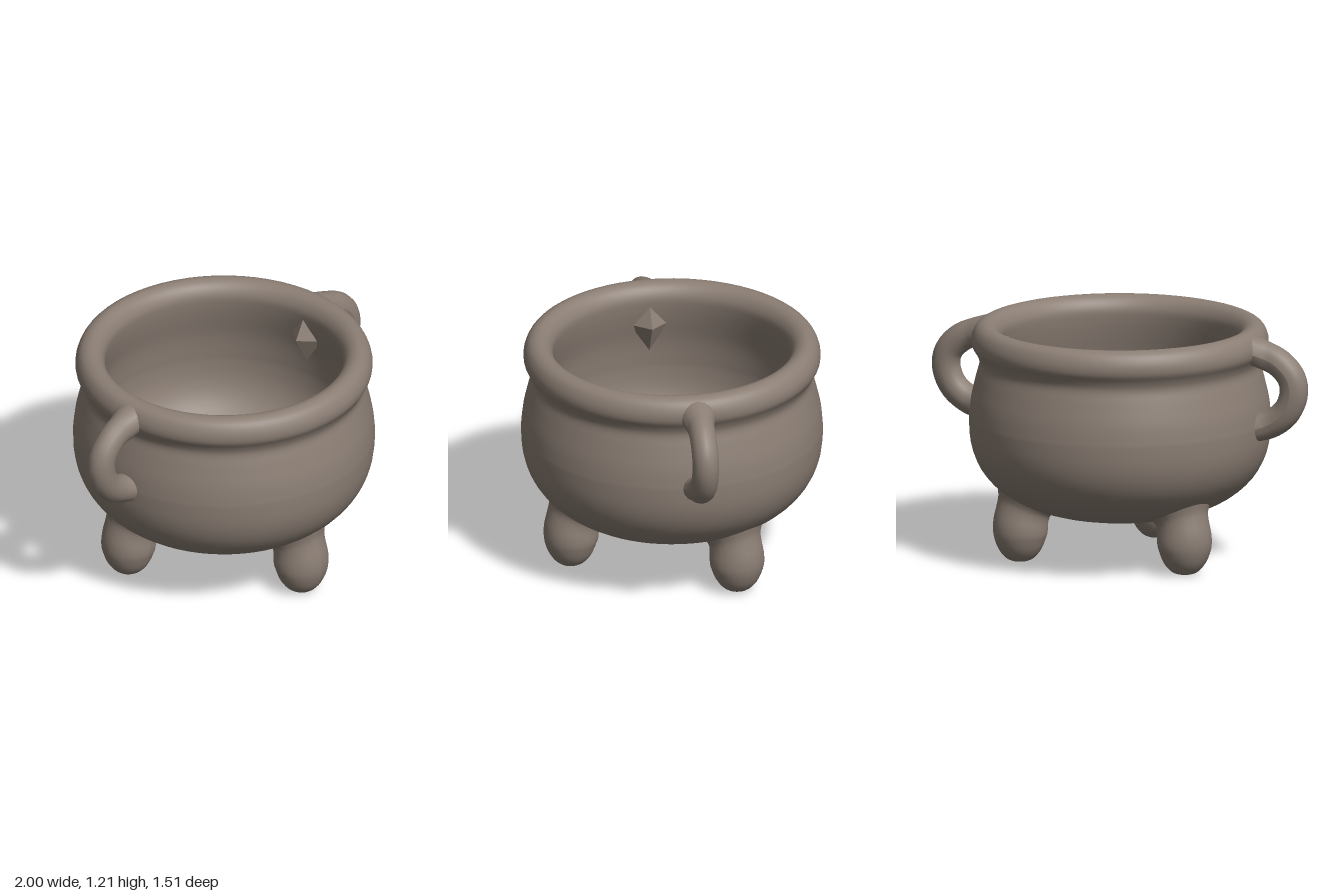
import * as THREE from 'three';

const iron = new THREE.MeshStandardMaterial({ color: 0x8b7e74 });
iron.name = 'warm grey iron';

const R = 0.755, MID = 0.72, POWER = 2.5;
const v2 = (x, y) => new THREE.Vector2(x, y);
const v3 = (x, y) => new THREE.Vector3(x, y, 0);

// Height of the rounded belly underside at radius r
const bellyY = (r) => MID - 0.5 * Math.pow(Math.max(0, 1 - Math.pow(r / R, POWER)), 1 / POWER);

// Lower half of a bowl, from the centre out to the widest ring
function bowl(radius, depth, steps) {
  const pts = [];
  for (let i = 0; i <= steps; i++) {
    const a = (i / steps) * Math.PI / 2;
    pts.push(v2(radius * Math.pow(Math.sin(a), 2 / POWER),
      MID - depth * Math.pow(Math.max(0, Math.cos(a)), 2 / POWER)));
  }
  pts[0].x = 0;
  pts[steps].y = MID;
  return pts;
}

function add(group, name, geometry) {
  const mesh = new THREE.Mesh(geometry, iron);
  mesh.name = name;
  group.add(mesh);
  return mesh;
}

// Hollow pot: outer belly, neck, rolled rim, inner wall and floor
function potGeometry() {
  const rim = new THREE.SplineCurve([
    v2(R, MID), v2(0.745, 0.82), v2(0.72, 0.93), v2(0.703, 1.0), v2(0.715, 1.045),
    v2(0.74, 1.09), v2(0.74, 1.14), v2(0.715, 1.187), v2(0.67, 1.205),
    v2(0.625, 1.187), v2(0.598, 1.14), v2(0.6, 1.08), v2(0.615, 1.0),
    v2(0.645, 0.87), v2(0.66, MID),
  ]).getPoints(56);
  const outer = bowl(R, 0.5, 18);
  const inner = bowl(0.66, 0.41, 18).reverse();
  return new THREE.LatheGeometry([...outer, ...rim.slice(1, -1), ...inner], 64);
}

// Egg-shaped foot whose top ring is pulled onto the belly and leans inward
function footGeometry(x, z) {
  const profile = new THREE.SplineCurve([
    v2(0, 0), v2(0.06, 0.012), v2(0.105, 0.06), v2(0.132, 0.13),
    v2(0.138, 0.2), v2(0.134, 0.29), v2(0.139, 0.35), v2(0.16, 0.4),
  ]).getPoints(28);
  profile[0].x = 0;
  const geo = new THREE.LatheGeometry(profile, 24);
  geo.translate(x, 0, z);
  const p = geo.attributes.position;
  const base = 0.12;
  for (let i = 0; i < p.count; i++) {
    const k = (p.getY(i) - base) / (0.4 - base);
    if (k <= 0) continue;
    const lean = 1 - 0.07 * k * k;
    const px = p.getX(i) * lean, pz = p.getZ(i) * lean;
    const top = bellyY(Math.hypot(px, pz)) + 0.01;
    p.setXYZ(i, px, base + k * (top - base), pz);
  }
  geo.computeVertexNormals();
  return geo;
}

// Ear-shaped loop, thickened where it meets the pot
function handleGeometry() {
  const path = new THREE.CatmullRomCurve3([
    v3(0.67, 1.128), v3(0.76, 1.1), v3(0.85, 1.06), v3(0.915, 0.99), v3(0.928, 0.91),
    v3(0.89, 0.815), v3(0.81, 0.75), v3(0.7, 0.715),
  ]);
  const geo = new THREE.TubeGeometry(path, 40, 0.072, 16, false);
  const p = geo.attributes.position;
  for (let i = 0; i < p.count; i++) {
    const flare = Math.max(0, 0.8 - p.getX(i)) * 4;
    p.setZ(i, p.getZ(i) * (0.93 + flare));
  }
  geo.computeVertexNormals();
  return geo;
}

export function createModel() {
  const model = new THREE.Group();
  model.name = 'cauldron';

  add(model, 'pot', potGeometry());

  // One foot in front, two behind
  add(model, 'frontFoot', footGeometry(0, 0.515));
  add(model, 'backLeftFoot', footGeometry(0.44, -0.25));
  add(model, 'backRightFoot', footGeometry(-0.44, -0.25));

  // Side handles, each with a faceted root showing on the inner wall
  const handle = handleGeometry();
  const root = new THREE.OctahedronGeometry(1).scale(0.08, 0.15, 0.1).translate(0.625, 0.99, 0);
  for (const [side, turn] of [['left', 0], ['right', Math.PI]]) {
    add(model, side + 'Handle', handle).rotation.y = turn;
    add(model, side + 'HandleRoot', root).rotation.y = turn;
  }

  return model;
}
